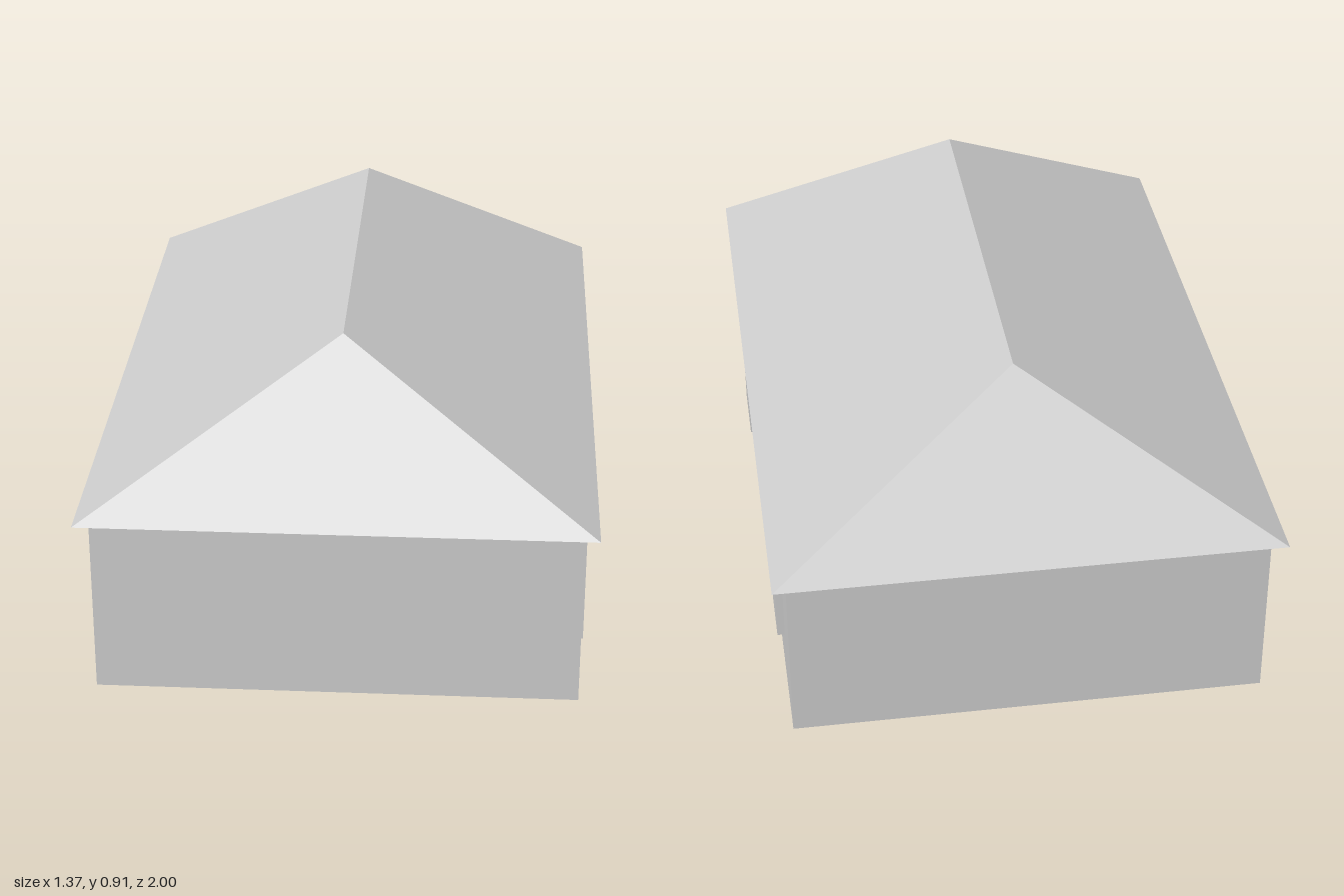
import * as THREE from 'three';

const material = new THREE.MeshStandardMaterial({ color: 0xcccccc, flatShading: true });

const WALL = { x: 0.647, z: 0.957, height: 0.505 };
const ROOF = { x: 0.685, z: 1, ridgeY: 0.907, ridgeZ: 0.625 };

function addMesh(parent, name, geometry) {
  const mesh = new THREE.Mesh(geometry, material);
  mesh.name = name;
  parent.add(mesh);
  return mesh;
}

// Hipped roof: four eave corners and two ridge ends, closed by a flat soffit
function hipRoofGeometry() {
  const { x, z, ridgeY, ridgeZ } = ROOF;
  const y = WALL.height;
  const corners = [
    [-x, y, z], [x, y, z], [x, y, -z], [-x, y, -z],
    [0, ridgeY, ridgeZ], [0, ridgeY, -ridgeZ],
  ];
  const faces = [
    [0, 1, 4], [2, 3, 5],             // front and back hips
    [1, 2, 5], [1, 5, 4],             // left slope
    [3, 0, 4], [3, 4, 5],             // right slope
    [0, 3, 2], [0, 2, 1],             // soffit
  ];
  const geometry = new THREE.BufferGeometry();
  const positions = faces.flat().flatMap((i) => corners[i]);
  geometry.setAttribute('position', new THREE.Float32BufferAttribute(positions, 3));
  geometry.computeVertexNormals();
  return geometry;
}

// Shallow panel standing out from the +x wall
function addPanel(parent, name, zMin, zMax, yMin, yMax) {
  const outer = 0.667, inner = WALL.x - 0.01;
  const geometry = new THREE.BoxGeometry(outer - inner, yMax - yMin, zMax - zMin);
  addMesh(parent, name, geometry)
    .position.set((outer + inner) / 2, (yMin + yMax) / 2, (zMin + zMax) / 2);
}

export function createModel() {
  const house = new THREE.Group();
  house.name = 'house';

  // Walls
  addMesh(house, 'walls', new THREE.BoxGeometry(WALL.x * 2, WALL.height, WALL.z * 2))
    .position.y = WALL.height / 2;

  // Roof
  addMesh(house, 'roof', hipRoofGeometry());

  // Door and windows
  addPanel(house, 'door', 0.444, 0.648, 0.003, 0.337);
  addPanel(house, 'frontWindow', 0.13, 0.295, 0.16, 0.367);
  addPanel(house, 'wideWindow', -0.348, -0.02, 0.16, 0.367);
  addPanel(house, 'backWindow', -0.75, -0.583, 0.16, 0.367);

  return house;
}
